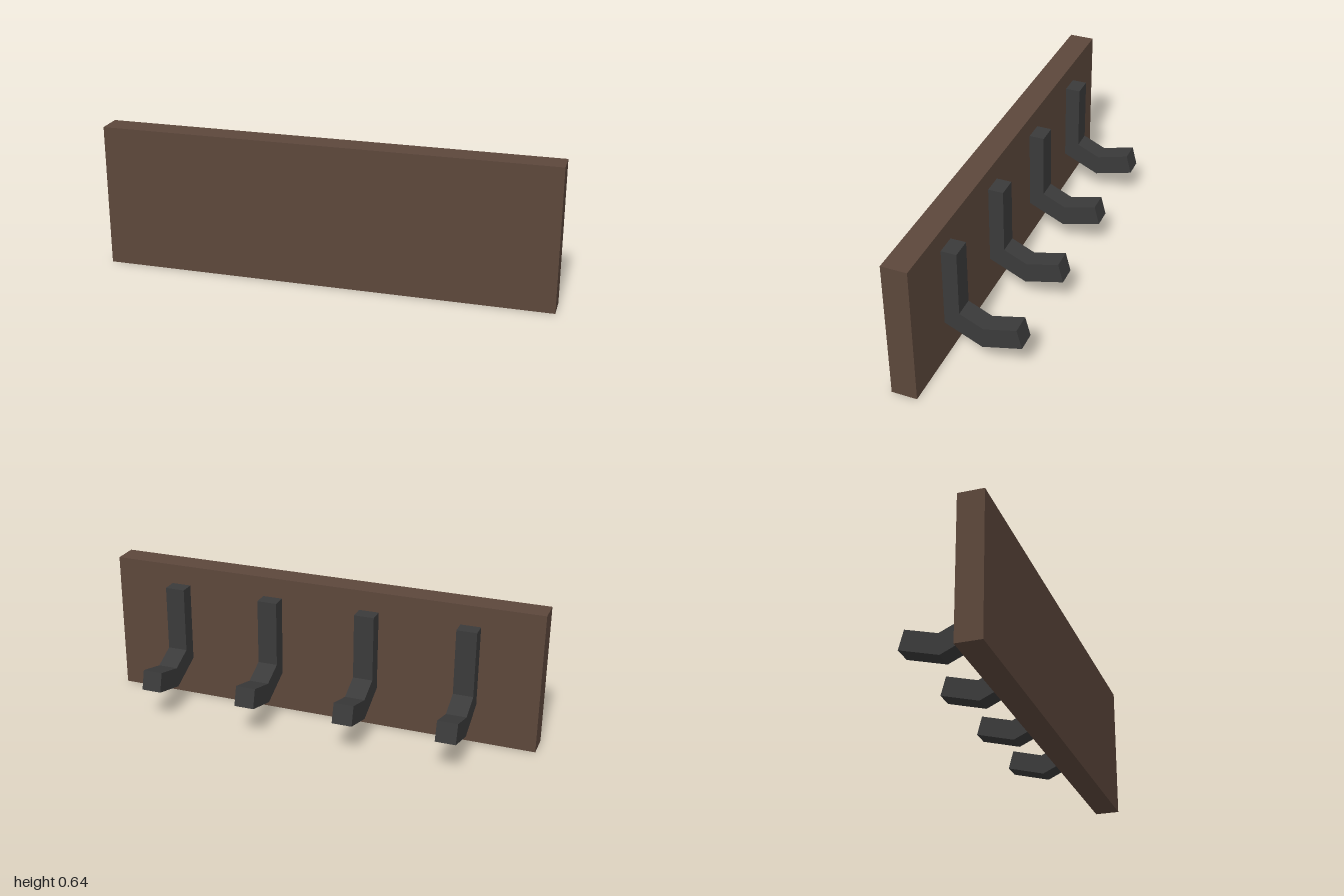
import * as THREE from 'three';

export function createModel() {
  const wood = new THREE.MeshStandardMaterial({ color: 0x5c473b });
  wood.name = 'brown wood';
  const iron = new THREE.MeshStandardMaterial({ color: 0x3a3a3a });
  iron.name = 'dark iron';

  const group = new THREE.Group();
  group.name = 'hookRack';

  // Backing board
  const board = new THREE.Mesh(new THREE.BoxGeometry(2, 0.638, 0.113), wood);
  board.name = 'board';
  board.position.set(0, 0.319, 0.17);
  group.add(board);

  // Hook side profile: distance towards the back, then height
  const profile = new THREE.Shape([
    [-0.114, 0.183], [0.051, 0.107], [0.226, 0.154], [0.203, 0.241],
    [0.058, 0.202], [-0.046, 0.25], [-0.046, 0.547], [-0.114, 0.547],
  ].map(([x, y]) => new THREE.Vector2(x, y)));
  const width = 0.09;
  const hookGeometry = new THREE.ExtrudeGeometry(profile, { depth: width, bevelEnabled: false });
  hookGeometry.translate(0, 0, -width / 2);
  hookGeometry.rotateY(Math.PI / 2);

  // Four evenly spaced hooks
  for (let i = 0; i < 4; i++) {
    const hook = new THREE.Mesh(hookGeometry, iron);
    hook.name = `hook${i + 1}`;
    hook.position.x = (i - 1.5) * 0.455;
    group.add(hook);
  }
  return group;
}
